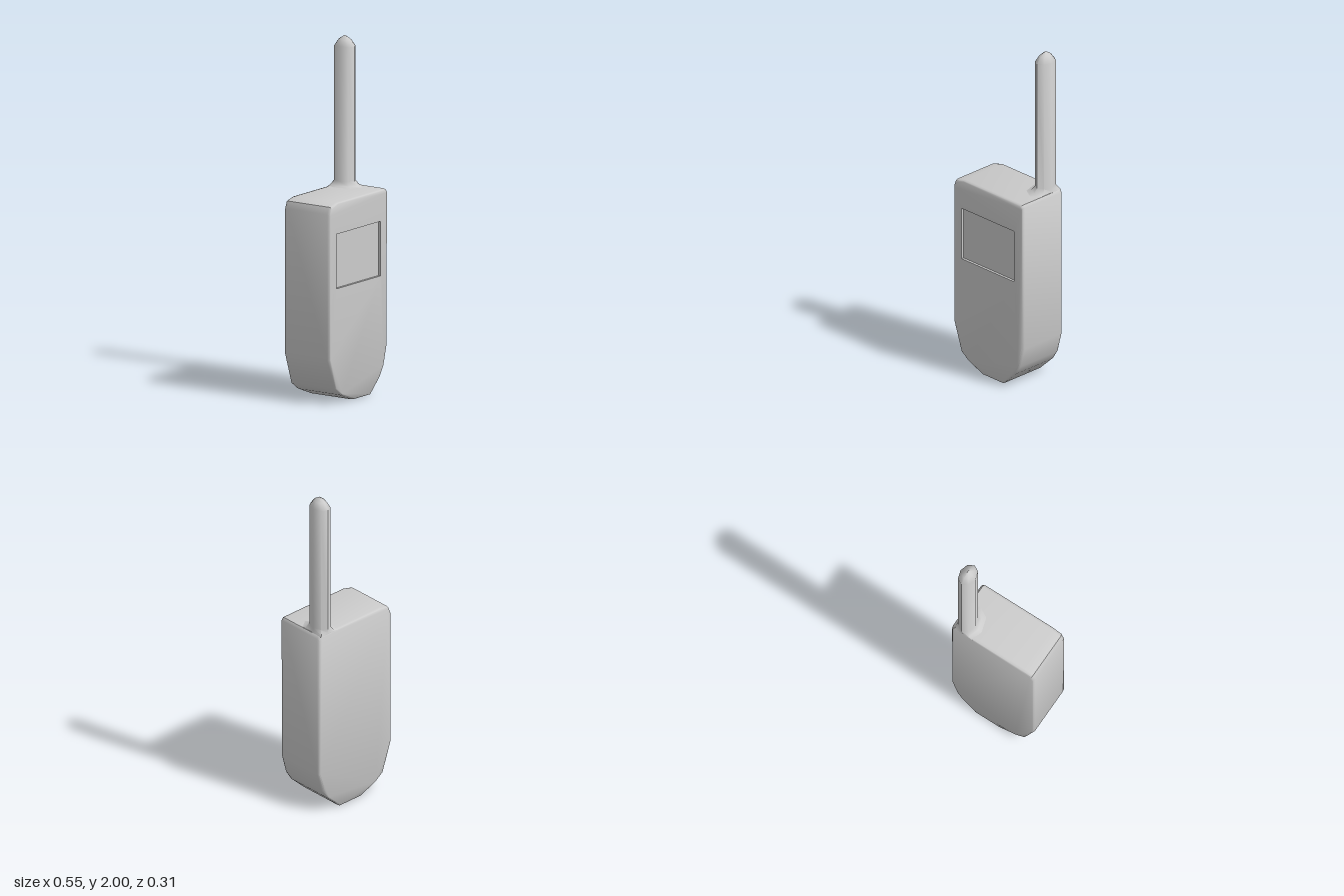
import * as THREE from 'three';
import { mergeGeometries, toCreasedNormals } from 'three/addons/utils/BufferGeometryUtils.js';

const material = new THREE.MeshStandardMaterial({ color: 0xcccccc });

// Body outline, counter-clockwise seen from the front
const outline = [
  [-0.045, 0], [0.115, 0], [0.205, 0.085], [0.24, 0.14], [0.272, 0.26],
  [0.274, 1.13], [0.262, 1.146], [-0.2, 1.146], [-0.26, 1.13], [-0.275, 1.09],
  [-0.275, 0.26], [-0.215, 0.085], [-0.16, 0.045],
];
const screenRect = [[-0.21, 0.66], [0.207, 0.66], [0.207, 0.97], [-0.21, 0.97]];
const toVectors = (pts) => pts.map(([x, y]) => new THREE.Vector2(x, y));

// Outline pulled inwards by d
function inset(d) {
  const cy = 0.573;
  return outline.map(([x, y]) => [x * (1 - d / 0.275), cy + (y - cy) * (1 - d / cy)]);
}

// Wall through rings of { pts, z }, ordered from back to front
function skin(rings) {
  const n = rings[0].pts.length;
  const pos = [], index = [];
  for (const { pts, z } of rings) for (const [x, y] of pts) pos.push(x, y, z);
  for (let r = 0; r < rings.length - 1; r++) {
    for (let i = 0; i < n; i++) {
      const a = r * n + i, b = r * n + (i + 1) % n;
      index.push(a, b, b + n, a, b + n, a + n);
    }
  }
  const g = new THREE.BufferGeometry();
  g.setAttribute('position', new THREE.Float32BufferAttribute(pos, 3));
  g.setIndex(index);
  return g.toNonIndexed();
}

// Flat face at depth z, optionally with a hole or turned to the back
function face(pts, z, hole, back) {
  const shape = new THREE.Shape(toVectors(back ? pts.map(([x, y]) => [-x, y]).reverse() : pts));
  if (hole) shape.holes.push(new THREE.Path(toVectors(hole)));
  const g = new THREE.ShapeGeometry(shape).toNonIndexed();
  if (back) g.rotateY(Math.PI);
  g.translate(0, 0, z);
  g.deleteAttribute('uv');
  g.deleteAttribute('normal');
  return g;
}

function addMesh(group, name, geometry) {
  const mesh = new THREE.Mesh(geometry, material);
  mesh.name = name;
  group.add(mesh);
}

export function createModel() {
  const group = new THREE.Group();
  group.name = 'handheldRadio';

  // Case with softly rounded front and back rims
  const front = 0.156;
  const rim = [[0.008, front], [0.003, 0.152], [0, 0.138]];
  const rings = [
    ...rim.map(([d, z]) => ({ pts: inset(d), z: -z })),
    ...rim.slice().reverse().map(([d, z]) => ({ pts: inset(d), z })),
  ];
  const body = mergeGeometries([
    skin(rings),
    face(inset(0.008), front, screenRect),
    face(inset(0.008), -front, null, true),
  ]);
  addMesh(group, 'body', toCreasedNormals(body, 0.8));

  // Sunken screen: inward-facing walls and a floor
  const floor = front - 0.015;
  const inward = screenRect.slice().reverse();
  const screen = mergeGeometries([
    skin([{ pts: inward, z: floor }, { pts: inward, z: front }]),
    face(screenRect, floor),
  ]);
  addMesh(group, 'screen', toCreasedNormals(screen, 0.5));

  // Oval eight-sided antenna, flared at the foot and pointed at the tip
  const profile = [[2.1, 1.143], [1.35, 1.151], [1, 1.175], [1, 1.94], [0.6, 1.975], [0, 2]];
  const antenna = new THREE.LatheGeometry(toVectors(profile), 8);
  antenna.scale(0.05, 1, 0.067);
  antenna.translate(0.207, 0, -0.089);
  // Keep the flare within the case top
  const p = antenna.attributes.position;
  for (let i = 0; i < p.count; i++) {
    p.setX(i, Math.min(p.getX(i), 0.262));
    p.setZ(i, Math.max(p.getZ(i), -0.156));
  }
  addMesh(group, 'antenna', toCreasedNormals(antenna, 1));

  return group;
}
